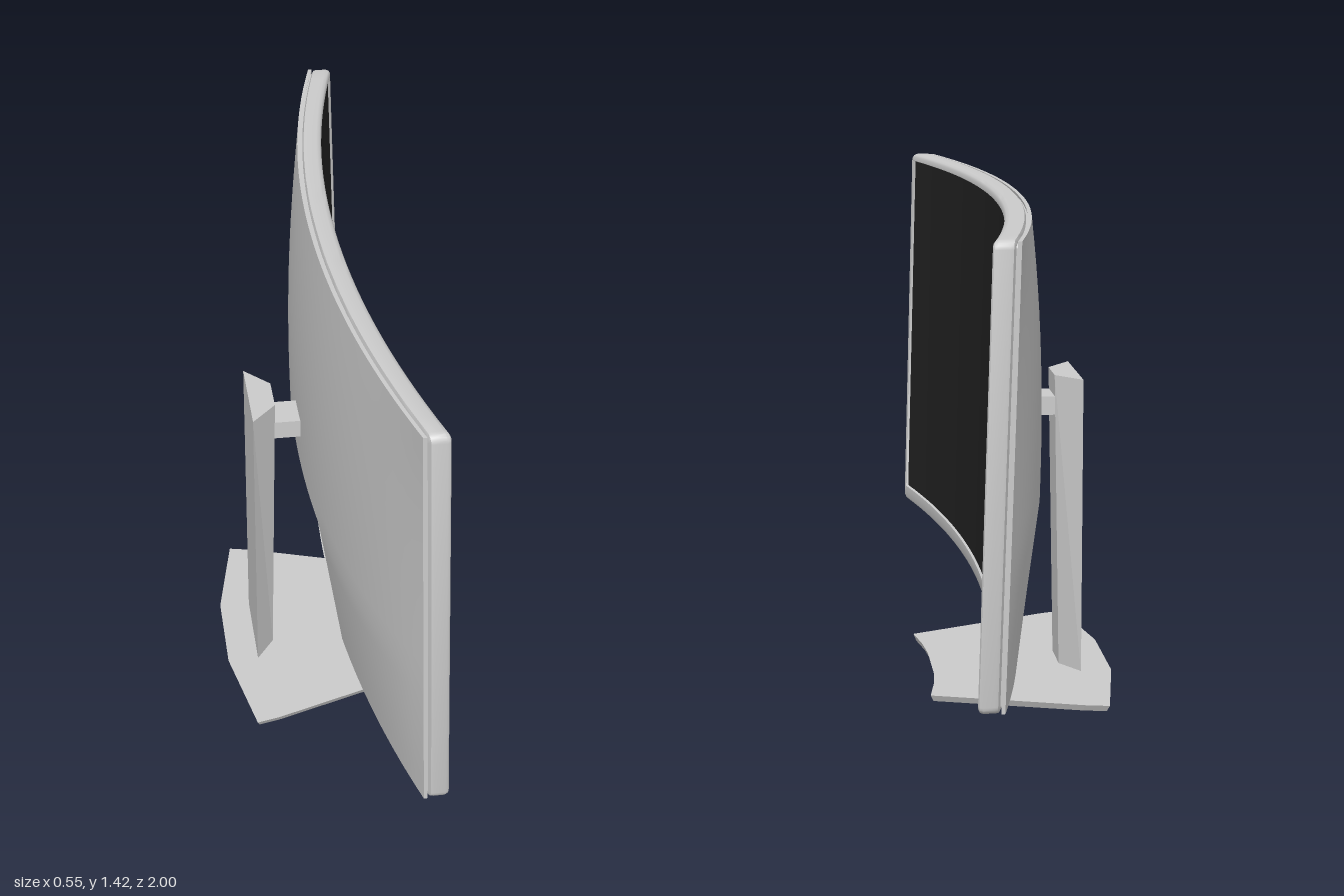
import * as THREE from 'three';
import { mergeGeometries, toCreasedNormals } from 'three/addons/utils/BufferGeometryUtils.js';

const lerp = THREE.MathUtils.lerp;
const BOTTOM = 0.25, TOP = 1.42, NOTCH_TOP = 0.66, R = 3.9;

// Maps display coordinates (z across, y up, u towards the viewer) to the curved, tilted display facing +x.
const bend = (z, y, u) => [0.045 + u - 0.035 * (y - BOTTOM) + R - Math.sqrt(R * R - z * z), y, z];

// Surface through a grid of points; rows is an array of equally long arrays of [x, y, z].
function gridSurface(rows) {
  const n = rows[0].length, index = [];
  for (let i = 0; i < rows.length - 1; i++) {
    for (let j = 0; j < n - 1; j++) {
      const a = i * n + j, b = a + 1, c = a + n, d = c + 1;
      index.push(a, b, d, a, d, c);
    }
  }
  const g = new THREE.BufferGeometry();
  g.setAttribute('position', new THREE.Float32BufferAttribute(rows.flat(2), 3));
  g.setIndex(index);
  g.computeVertexNormals();
  return g;
}

const steps = (a, b, n) => Array.from({ length: n + 1 }, (_, i) => lerp(a, b, i / n));

// Rounded rectangle path round the display, inset by side (also the top) and by bottom.
function perimeter(side, bottom, u) {
  const r = Math.max(0.022 - side, 0.003), w = 1 - side, y0 = BOTTOM + bottom, y1 = TOP - side;
  const pts = [];
  const corner = (z, y, start) => {
    for (let k = 0; k <= 4; k++) {
      const a = start + (k / 4) * Math.PI / 2;
      pts.push([z + r * Math.cos(a), y + r * Math.sin(a)]);
    }
  };
  corner(w - r, y1 - r, 0);
  for (const z of steps(w - r, -w + r, 32).slice(1, -1)) pts.push([z, y1]);
  corner(-w + r, y1 - r, Math.PI / 2);
  corner(-w + r, y0 + r, Math.PI);
  for (const z of steps(-w + r, w - r, 32).slice(1, -1)) pts.push([z, y0]);
  corner(w - r, y0 + r, Math.PI * 1.5);
  pts.push(pts[0]);
  return pts.map(([z, y]) => bend(z, y, u));
}

// Flat-depth curved sheet filling a rectangle of the display.
const sheet = (w, y0, y1, u) =>
  gridSurface([y0, y1].map(y => steps(-w, w, 32).map(z => bend(z, y, u))));

// Depth of the back shell: straight slope below, gentle dome above, fading to the sides.
function shellDepth(z, y) {
  const rise = y < NOTCH_TOP
    ? lerp(0.1, 1, (y - BOTTOM) / (NOTCH_TOP - BOTTOM))
    : 1 - Math.pow((y - NOTCH_TOP) / (TOP - NOTCH_TOP), 2.2);
  return -(0.014 + 0.056 * rise * (1 - Math.pow(Math.abs(z), 3.5)));
}

function shellGeometry() {
  const low = steps(BOTTOM + 0.002, NOTCH_TOP, 6), high = steps(NOTCH_TOP, TOP - 0.003, 12);
  const ys = [...low, ...high.slice(1)];
  const inner = y => lerp(0.34, 0.31, Math.min(1, (y - BOTTOM) / (NOTCH_TOP - BOTTOM)));
  const outer = 0.996, parts = [];
  const back = (z, y) => bend(z, y, shellDepth(z, y));
  const wall = pts => parts.push(gridSurface([
    pts.map(([z, y]) => back(z, y)), pts.map(([z, y]) => bend(z, y, -0.004))]));

  // side panels with their outer, top, bottom and notch walls
  for (const s of [1, -1]) {
    const row = y => {
      const zs = steps(inner(y), outer, 14).map(z => z * s);
      return s > 0 ? zs : zs.reverse();
    };
    parts.push(gridSurface(ys.map(y => row(y).map(z => back(z, y)))));
    wall(ys.map(y => [s * outer, y]));
    wall(low.map(y => [s * inner(y), y]));
    for (const y of [ys[0], ys[ys.length - 1]]) wall(row(y).map(z => [z, y]));
  }
  // middle panel above the notch
  const mid = steps(-inner(TOP), inner(TOP), 12);
  parts.push(gridSurface(high.map(y => mid.map(z => back(z, y)))));
  for (const y of [NOTCH_TOP, high[high.length - 1]]) wall(mid.map(z => [z, y]));
  return toCreasedNormals(mergeGeometries(parts), 0.5);
}

// Upright prism from an outline of [x, z] points mirrored across z.
function prism(half, height) {
  const pts = [...half, ...half.slice().reverse().map(([x, z]) => [x, -z])];
  const shape = new THREE.Shape(pts.map(([x, z]) => new THREE.Vector2(x, z)));
  const g = new THREE.ExtrudeGeometry(shape, { depth: height, bevelEnabled: false });
  g.rotateX(-Math.PI / 2);
  return g;
}

function moveVertices(g, rule) {
  const p = g.attributes.position, v = new THREE.Vector3();
  for (let i = 0; i < p.count; i++) {
    rule(v.fromBufferAttribute(p, i));
    p.setXYZ(i, v.x, v.y, v.z);
  }
  g.computeVertexNormals();
  return g;
}

export function createModel() {
  const model = new THREE.Group();
  const grey = new THREE.MeshStandardMaterial({ color: 0xcccccc });
  const greyThin = new THREE.MeshStandardMaterial({ color: 0xcccccc, side: THREE.DoubleSide });
  const black = new THREE.MeshStandardMaterial({ color: 0x222222, side: THREE.DoubleSide });
  const add = (name, geometry, material, parent = model) => {
    const mesh = new THREE.Mesh(geometry, material);
    mesh.name = name;
    parent.add(mesh);
    return mesh;
  };

  // Display
  const display = new THREE.Group();
  display.name = 'display';
  model.add(display);
  const profile = [
    [0.03, 0.03, 0], [0.008, 0.008, 0], [0.001, 0.001, 0.004], [0, 0, 0.012], [0, 0, 0.042],
    [0.004, 0.004, 0.051], [0.01, 0.012, 0.055], [0.022, 0.046, 0.055], [0.025, 0.05, 0.048],
  ];
  const frame = gridSurface(profile.map(p => perimeter(...p)));
  add('screenFrame', toCreasedNormals(frame, 0.6), greyThin, display);
  add('screen', sheet(0.976, BOTTOM + 0.049, TOP - 0.024, 0.049), black, display);
  add('rearPanel', sheet(0.985, BOTTOM + 0.015, TOP - 0.015, -0.001), black, display);
  add('backShell', shellGeometry(), greyThin, display);

  // Seam between frame and shell
  add('shellSeam', gridSurface([perimeter(0.012, 0.012, -0.006), perimeter(0.012, 0.012, 0.002)]),
    greyThin, display);

  // Stand
  const stand = new THREE.Group();
  stand.name = 'stand';
  model.add(stand);
  const post = moveVertices(prism([[-0.185, 0.13], [-0.115, 0.055]], 0.875), v => {
    if (v.x > -0.15) v.x -= 0.016 * (1 - v.y / 0.875);
  });
  add('post', post, grey, stand).position.y = 0.017;
  const arm = new THREE.BoxGeometry(0.13, 0.054, 0.104);
  add('arm', arm, grey, stand).position.set(-0.06, 0.802, 0);

  // Base plate, slightly undercut
  const base = prism([[-0.275, 0.13], [-0.217, 0.41], [-0.15, 0.395], [0.02, 0.34], [0.27, 0.26],
    [0.252, 0.17], [0.243, 0.085]].reverse(), 0.02);
  moveVertices(base, v => {
    if (v.y < 0.01) { v.x *= 0.97; v.z *= 0.97; }
  });
  add('base', base, grey, stand);
  return model;
}
